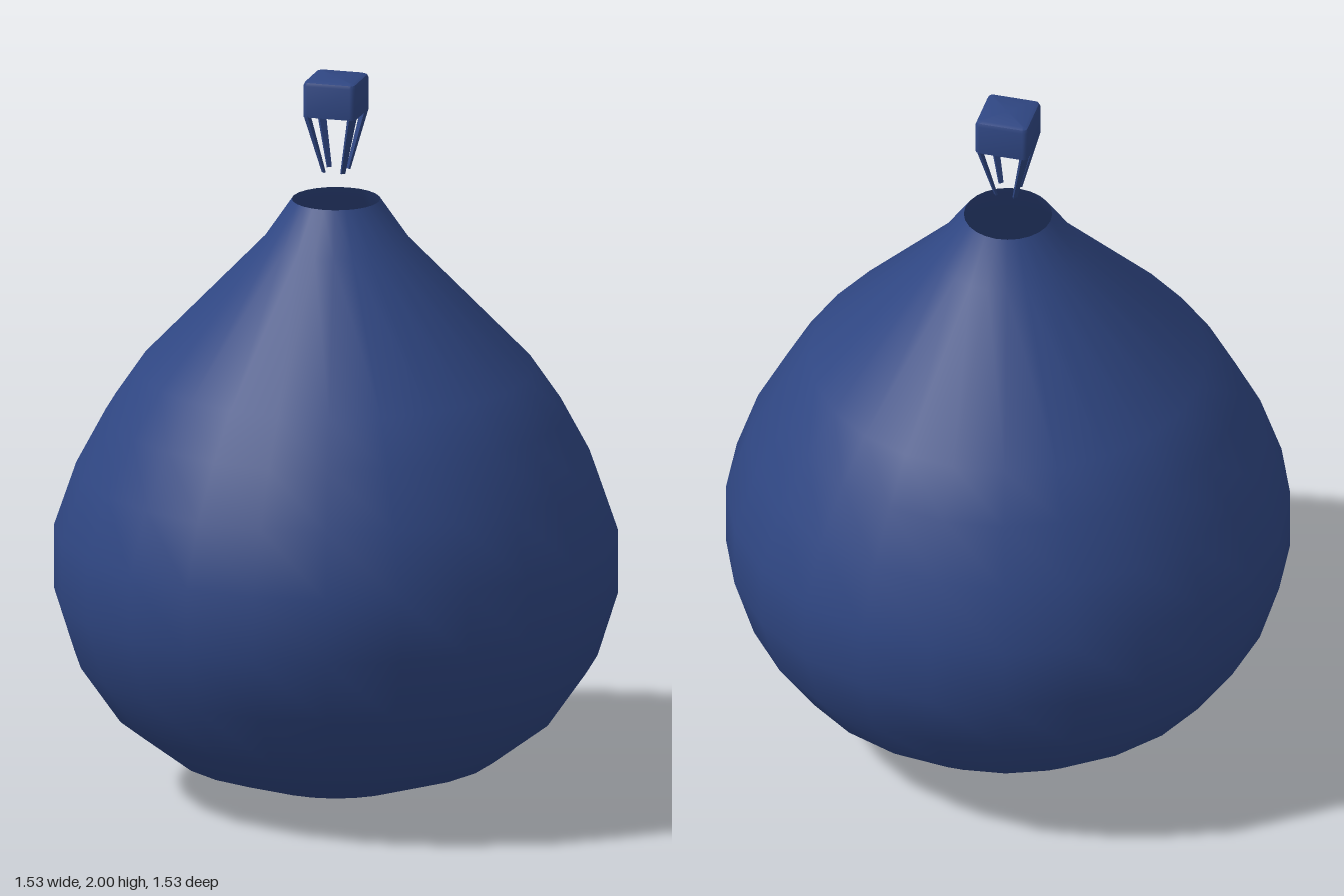
import * as THREE from 'three';
import { toCreasedNormals } from 'three/addons/utils/BufferGeometryUtils.js';

// Points of a rounded square, counter-clockwise from above
function roundedSquare(half, radius, y) {
  const pts = [];
  for (let c = 0; c < 4; c++) {
    const mid = Math.PI / 4 + c * Math.PI / 2;
    const cx = Math.sign(Math.cos(mid)) * (half - radius);
    const cz = Math.sign(Math.sin(mid)) * (half - radius);
    for (let i = 0; i <= 4; i++) {
      const a = c * Math.PI / 2 + i * Math.PI / 8;
      pts.push([cx + Math.cos(a) * radius, y, -cz - Math.sin(a) * radius]);
    }
  }
  return pts;
}

// Skin a stack of equal loops, closing both ends to their centres
function loft(loops) {
  const n = loops[0].length;
  const index = [];
  for (let k = 0; k < loops.length - 1; k++) {
    for (let i = 0; i < n; i++) {
      const a = k * n + i, b = k * n + (i + 1) % n;
      index.push(a, b, b + n, a, b + n, a + n);
    }
  }
  const verts = loops.flat();
  const last = (loops.length - 1) * n;
  const first = verts.length;
  verts.push([0, loops[0][0][1], 0], [0, loops[loops.length - 1][0][1], 0]);
  for (let i = 0; i < n; i++) {
    const j = (i + 1) % n;
    index.push(first, j, i, first + 1, last + i, last + j);
  }
  const geo = new THREE.BufferGeometry();
  geo.setAttribute('position', new THREE.Float32BufferAttribute(verts.flat(), 3));
  geo.setIndex(index);
  return toCreasedNormals(geo, 0.6);
}

export function createModel() {
  const group = new THREE.Group();
  const blue = new THREE.MeshStandardMaterial({ color: 0x2f4682, side: THREE.DoubleSide });
  blue.name = 'navy blue';

  // Open-mouthed envelope
  const profile = [
    [0, 0], [0.22, 0.03], [0.445, 0.105], [0.6, 0.222], [0.71, 0.38], [0.765, 0.555],
    [0.765, 0.735], [0.705, 0.91], [0.625, 1.06], [0.54, 1.185], [0.2, 1.54], [0.12, 1.657],
  ].map(([x, y]) => new THREE.Vector2(x, y));
  const envelope = new THREE.Mesh(
    new THREE.LatheGeometry(profile, 24, -THREE.MathUtils.degToRad(3.75)), blue);
  envelope.name = 'envelope';
  group.add(envelope);

  // Inverted basket with its ropes, slightly turned
  const basketGroup = new THREE.Group();
  basketGroup.name = 'basketAssembly';
  basketGroup.rotation.y = -THREE.MathUtils.degToRad(18);
  group.add(basketGroup);

  // Hollow shell: inner ceiling, inner wall, rim, outer wall, rounded top
  const basket = new THREE.Mesh(loft([
    roundedSquare(0.061, 0.008, 1.985),
    roundedSquare(0.061, 0.008, 1.9),
    roundedSquare(0.0745, 0.015, 1.9),
    roundedSquare(0.0745, 0.015, 1.987),
    roundedSquare(0.0705, 0.012, 1.996),
    roundedSquare(0.062, 0.009, 2.0),
  ]), blue);
  basket.name = 'basket';
  basketGroup.add(basket);

  // Four flat tapering ropes leaning inward from the corners
  const up = new THREE.Vector3(0, 1, 0);
  for (let i = 0; i < 4; i++) {
    const top = new THREE.Vector3(0.09, 1.905, 0);
    const end = new THREE.Vector3(0.038, 1.737, 0);
    const dir = top.clone().sub(end);
    const geo = new THREE.CylinderGeometry(0.0165, 0.009, dir.length(), 4, 1);
    geo.rotateY(Math.PI / 4);
    geo.scale(0.45, 1, 1);
    const flat = toCreasedNormals(geo, 0.5);
    flat.applyQuaternion(new THREE.Quaternion().setFromUnitVectors(up, dir.normalize()));
    const mid = top.add(end).multiplyScalar(0.5);
    flat.translate(mid.x, mid.y, mid.z);
    const rope = new THREE.Mesh(flat, blue);
    rope.name = 'rope' + (i + 1);
    rope.rotation.y = Math.PI / 4 + i * Math.PI / 2;
    basketGroup.add(rope);
  }
  return group;
}
